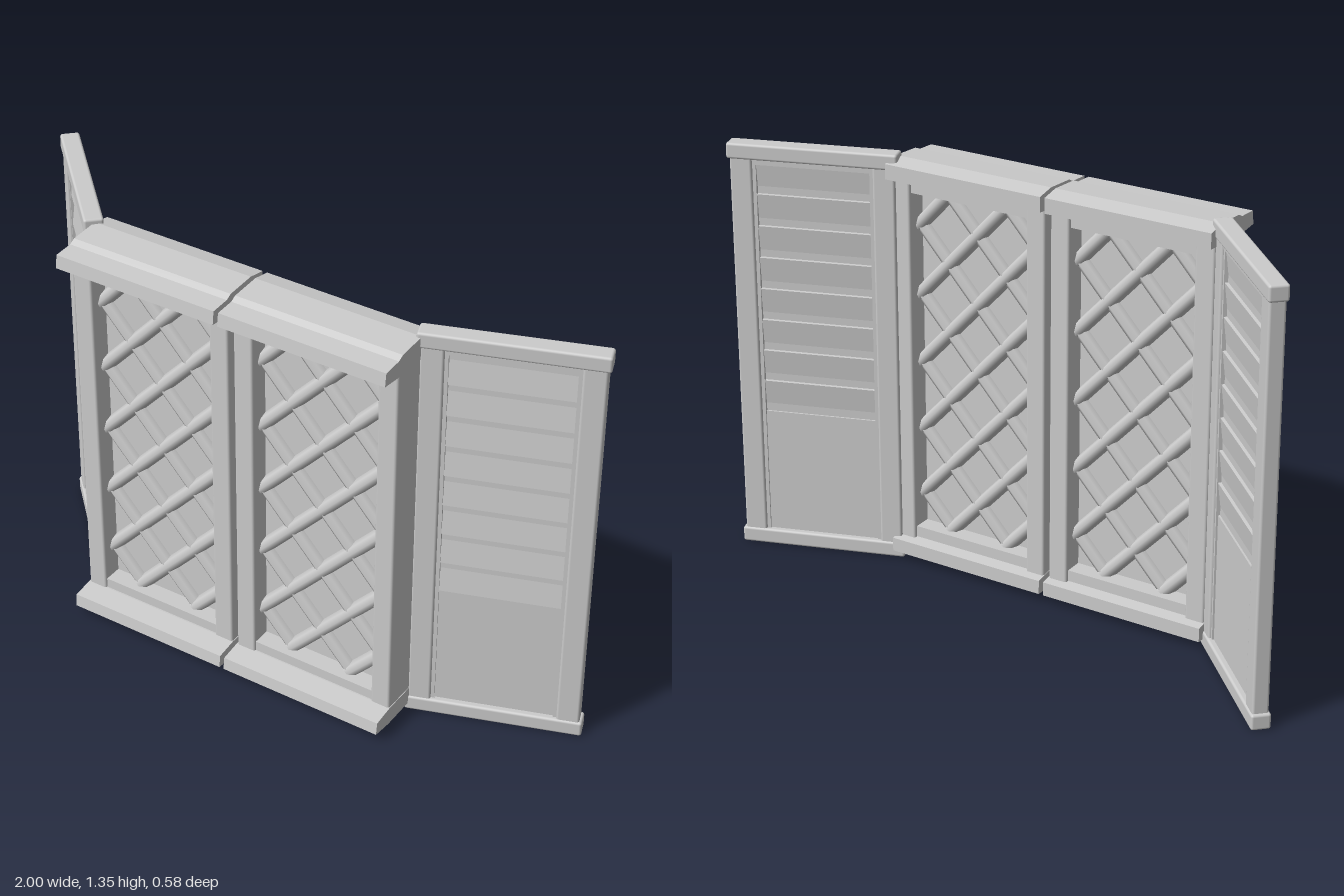
import * as THREE from 'three';
import { RoundedBoxGeometry } from 'three/addons/geometries/RoundedBoxGeometry.js';

const material = new THREE.MeshStandardMaterial({ color: 0xcccccc });

function add(parent, name, geometry, x = 0, y = 0, z = 0) {
  const mesh = new THREE.Mesh(geometry, material);
  mesh.name = name;
  mesh.position.set(x, y, z);
  parent.add(mesh);
  return mesh;
}

const box = (w, h, d) => new THREE.BoxGeometry(w, h, d);
const softBox = (w, h, d) => new RoundedBoxGeometry(w, h, d, 2, 0.008);

// Extrude a (z, y) profile along x, centred on x = 0
function rail(points, length) {
  const shape = new THREE.Shape(points.map(([z, y]) => new THREE.Vector2(-z, y)));
  const geometry = new THREE.ExtrudeGeometry(shape, { depth: length, bevelEnabled: false });
  return geometry.translate(0, 0, -length / 2).rotateY(Math.PI / 2);
}

// Diagonal bars clipped to the window opening
function createLattice() {
  const lattice = new THREE.Group();
  lattice.name = 'lattice';
  const halfWidth = 0.208, bottom = 0.11, top = 1.23, rows = 5;
  const pitch = (top - bottom) / rows;
  const slope = pitch / halfWidth;
  for (const side of [-1, 1]) {
    for (let k = -1; k <= rows; k++) {
      const middle = bottom + pitch * (k + 0.5);
      const y0 = Math.max(bottom, middle - pitch);
      const y1 = Math.min(top, middle + pitch);
      if (y1 - y0 < 0.02) continue;
      const x0 = side * (y0 - middle) / slope;
      const x1 = side * (y1 - middle) / slope;
      const length = Math.hypot(x1 - x0, y1 - y0) + 0.02;
      const bar = add(lattice, 'latticeBar', new THREE.CylinderGeometry(0.023, 0.023, length, 8),
        (x0 + x1) / 2, (y0 + y1) / 2, 0.145 + side * 0.004);
      bar.rotation.z = -Math.atan2(x1 - x0, y1 - y0);
      bar.scale.z = 1.7;
    }
  }
  return lattice;
}

// One fixed window with head, sill, stiles, pane and lattice
function createWindow(name, x) {
  const win = new THREE.Group();
  win.name = name;
  win.position.x = x;
  const width = 0.548;
  add(win, 'head', rail([[0.04, 1.27], [0.04, 1.318], [0.1, 1.33], [0.2, 1.325], [0.22, 1.315],
    [0.285, 1.312], [0.29, 1.27], [0.22, 1.262]], width));
  add(win, 'sill', rail([[0.04, 0.025], [0.04, 0.07], [0.1, 0.08], [0.215, 0.08], [0.285, 0.07],
    [0.29, 0.03], [0.22, 0.022]], width));
  for (const s of [-1, 1]) {
    add(win, 'stile', softBox(0.064, 1.22, 0.148), s * 0.24, 0.67, 0.143);
  }
  add(win, 'topRail', box(0.43, 0.045, 0.13), 0, 1.25, 0.145);
  add(win, 'bottomRail', box(0.43, 0.045, 0.13), 0, 0.09, 0.145);
  add(win, 'pane', box(0.43, 1.14, 0.012), 0, 0.67, 0.145);
  win.add(createLattice());
  return win;
}

// One hinged shutter: framed flat panel below, slats above
function createShutter(name, x, z, angle) {
  const shutter = new THREE.Group();
  shutter.name = name;
  shutter.position.set(x, 0, z);
  shutter.rotation.y = angle;
  for (const y of [0.025, 1.32]) add(shutter, 'rail', softBox(0.538, 0.05, 0.06), 0, y);
  for (const s of [-1, 1]) {
    add(shutter, 'stile', softBox(0.07, 1.27, 0.05), s * 0.225, 0.67);
    add(shutter, 'panelTrim', box(0.014, 1.25, 0.034), s * 0.186, 0.67);
  }
  add(shutter, 'topTrim', box(0.4, 0.02, 0.036), 0, 1.288);
  add(shutter, 'lowerPanel', box(0.39, 0.42, 0.022), 0, 0.25);
  add(shutter, 'backing', box(0.39, 0.83, 0.01), 0, 0.87);
  const count = 8, pitch = 0.103;
  for (let i = 0; i < count; i++) {
    const slat = add(shutter, 'slat', box(0.38, pitch + 0.006, 0.016), 0, 0.46 + pitch * (i + 0.5));
    slat.rotation.x = -0.12;
  }
  return shutter;
}

export function createModel() {
  const model = new THREE.Group();
  model.name = 'shutteredWindow';
  model.add(
    createWindow('rightWindow', -0.332),
    createWindow('leftWindow', 0.231),
    createShutter('rightShutter', -0.791, -0.08, -0.789),
    createShutter('leftShutter', 0.737, -0.005, 0.341),
  );
  return model;
}
